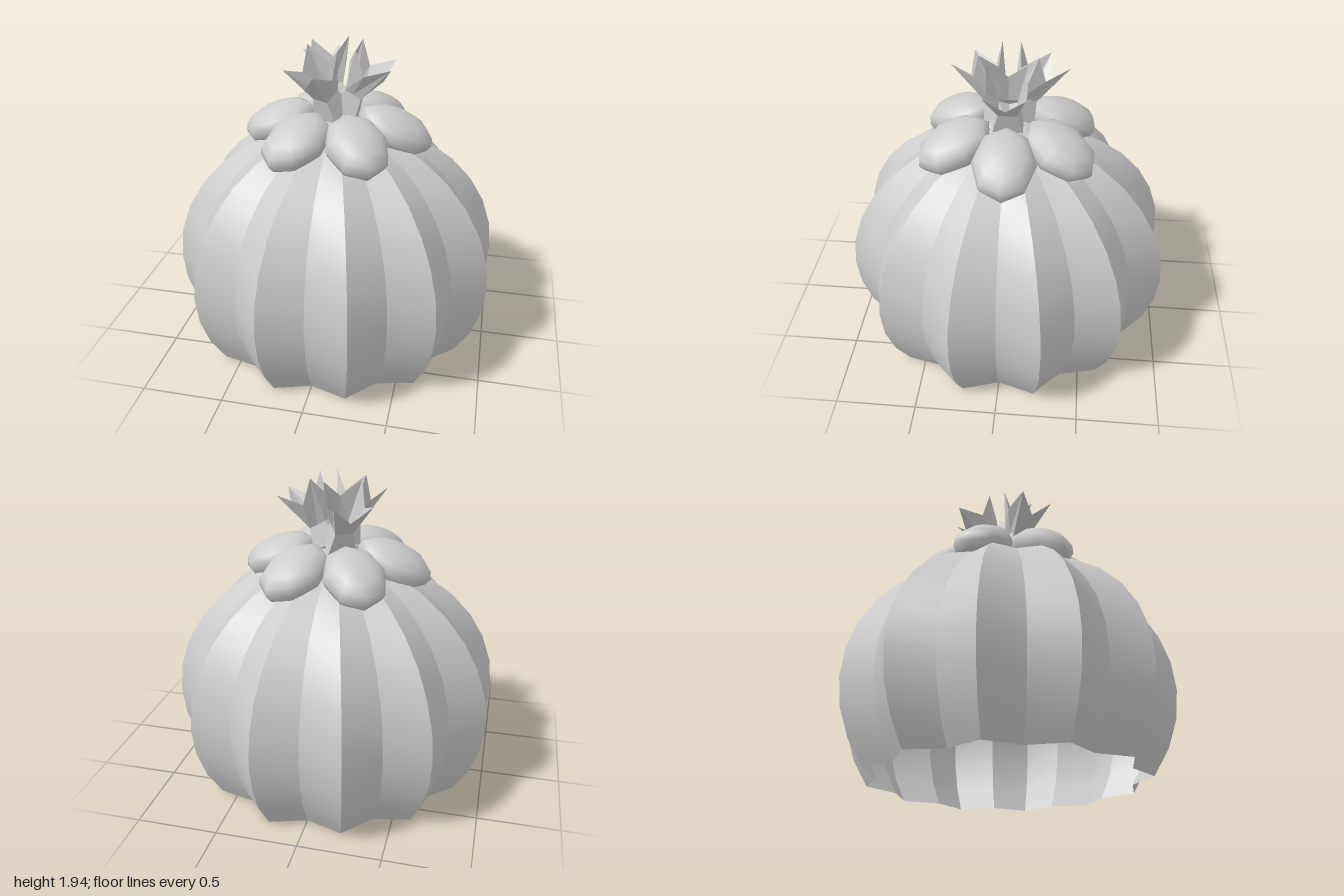
import * as THREE from 'three';

const material = new THREE.MeshStandardMaterial({ color: 0xcccccc, side: THREE.DoubleSide });
const flatMaterial = new THREE.MeshStandardMaterial({ color: 0xcccccc, side: THREE.DoubleSide, flatShading: true });

// Joins two or more equal rows of points into a surface
function loft(rows) {
  const n = rows[0].length;
  const index = [];
  for (let i = 0; i < rows.length - 1; i++) {
    for (let j = 0; j < n - 1; j++) {
      const a = i * n + j, b = a + n;
      index.push(a, b, a + 1, a + 1, b, b + 1);
    }
  }
  const g = new THREE.BufferGeometry();
  g.setAttribute('position', new THREE.Float32BufferAttribute(rows.flat(2), 3));
  g.setIndex(index);
  g.computeVertexNormals();
  return g;
}

// Ribbed body: 24 strips between ridges and valleys, open below
function createBody() {
  const body = new THREE.Group();
  body.name = 'ribbedBody';
  const ridge = 1.035, valley = 0.917, height = 0.936, middle = 0.52;
  const meridian = (k) => {
    const radius = k % 2 ? ridge : valley;
    const turn = (k * Math.PI) / 12;
    const points = [];
    for (let i = -3; i <= 8; i++) {
      const lat = (i * Math.PI) / 16;
      const r = radius * Math.cos(lat);
      const y = i === -3 ? 0 : middle + height * Math.sin(lat);
      points.push([r * Math.cos(turn), y, -r * Math.sin(turn)]);
    }
    return points;
  };
  for (let k = 0; k < 24; k++) {
    const strip = new THREE.Mesh(loft([meridian(k), meridian(k + 1)]), material);
    strip.name = 'ribSide';
    body.add(strip);
  }
  return body;
}

// Low-poly oval bud, tilted down and outward
function createBud() {
  const bud = new THREE.Mesh(new THREE.SphereGeometry(1, 8, 8), material);
  bud.name = 'bud';
  bud.scale.set(0.245, 0.122, 0.19);
  bud.position.set(0.36, 1.428, 0);
  bud.rotation.z = -Math.PI / 8;
  return bud;
}

// Square funnel with four pointed corners, narrow neck and flared foot
function createFlower() {
  const ring = (half, y, notch = 0) => {
    const points = [];
    for (let k = 0; k <= 8; k++) {
      const corner = k % 2 === 1;
      const a = (k * Math.PI) / 4;
      const r = corner ? half * Math.SQRT2 : half;
      points.push([r * Math.cos(a), corner ? y : y - notch, -r * Math.sin(a)]);
    }
    return points;
  };
  const rows = [ring(0.09, -0.4), ring(0.055, -0.27), ring(0.118, 0, 0.12)];
  const flower = new THREE.Mesh(loft(rows.reverse()), flatMaterial);
  flower.name = 'flower';
  flower.position.set(0.235, 1.888, 0);
  flower.rotation.z = -0.5;
  return flower;
}

// Repeats a part evenly around the vertical axis
function ringOf(name, count, make) {
  const group = new THREE.Group();
  group.name = name;
  for (let i = 0; i < count; i++) {
    const arm = new THREE.Group();
    arm.rotation.y = (i * 2 * Math.PI) / count;
    arm.add(make());
    group.add(arm);
  }
  return group;
}

export function createModel() {
  const model = new THREE.Group();
  model.name = 'cactus';
  model.add(createBody(), ringOf('buds', 6, createBud), ringOf('flowers', 3, createFlower));
  return model;
}
